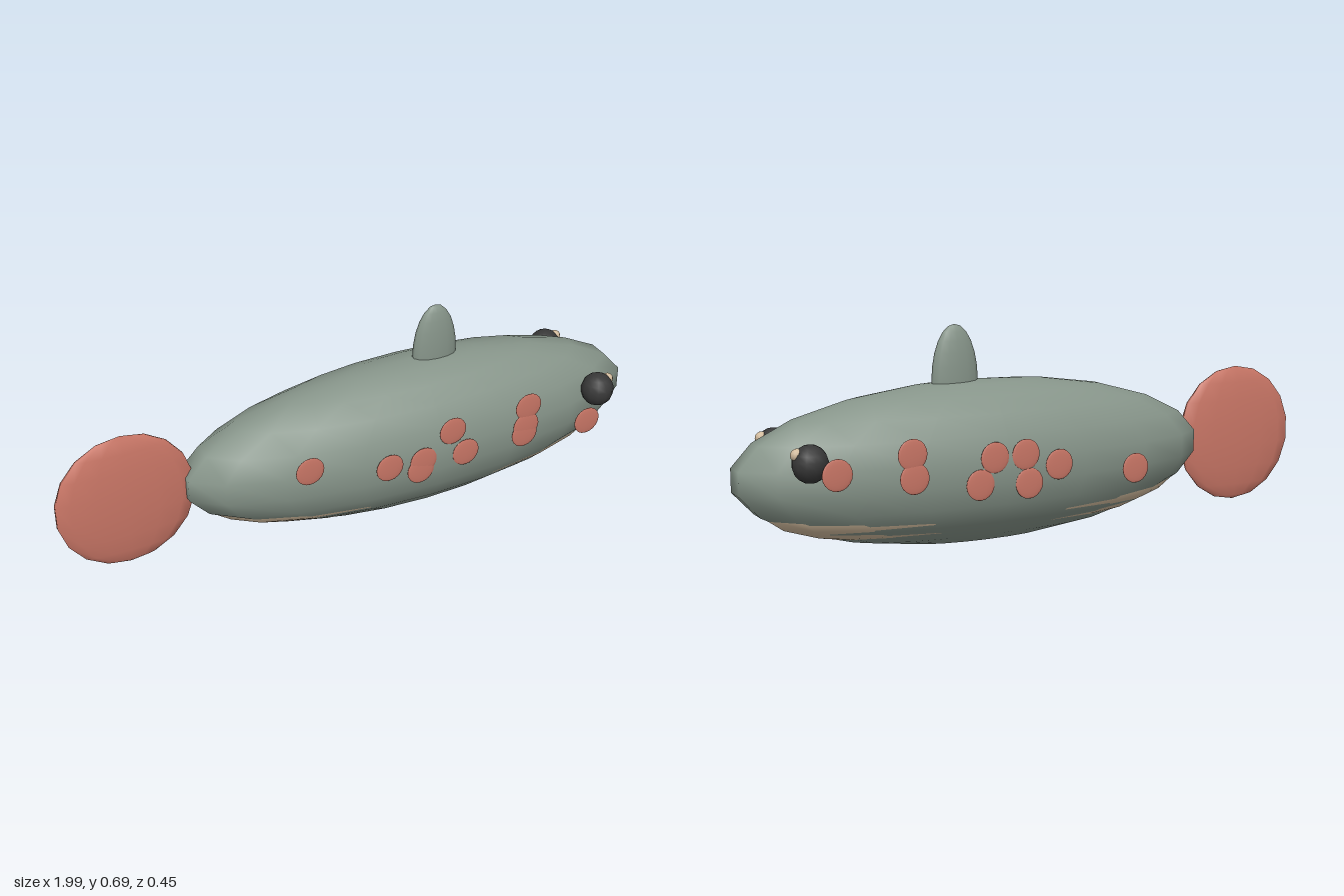
import * as THREE from 'three';

const mat = (name, color) => {
  const m = new THREE.MeshStandardMaterial({ color });
  m.name = name;
  return m;
};

export function createModel() {
  const fish = new THREE.Group();
  fish.name = 'fish';

  const green = mat('greyGreen', 0x87958a);
  const coral = mat('coral', 0xc97666);
  const dark = mat('charcoal', 0x383838);
  const cream = mat('cream', 0xd2bb9d);

  // Every part is a stretched sphere; rotating it puts blunt facets at the x ends
  function ellipsoid(name, material, pos, radii, w = 18, h = 11) {
    const g = new THREE.SphereGeometry(1, w, h);
    g.rotateY(Math.PI / 2);
    g.scale(...radii);
    const mesh = new THREE.Mesh(g, material);
    mesh.name = name;
    mesh.position.set(...pos);
    fish.add(mesh);
    return mesh;
  }

  // Body, with a pale belly that just breaks the surface near both ends
  ellipsoid('body', green, [0.205, 0.26, 0], [0.81, 0.257, 0.222]);
  ellipsoid('belly', cream, [0.205, 0.17, 0], [0.731, 0.152, 0.193]);

  // Fins
  ellipsoid('tailFin', coral, [-0.775, 0.265, 0], [0.228, 0.232, 0.03], 14, 9);
  ellipsoid('dorsalFin', green, [0.285, 0.515, 0], [0.078, 0.176, 0.031], 14, 12);

  // Eyes with a small glint on the forward side
  for (const s of [1, -1]) {
    ellipsoid('eye', dark, [0.82, 0.328, s * 0.165], [0.055, 0.057, 0.054], 12, 9);
    ellipsoid('eyeGlint', cream, [0.858, 0.356, s * 0.163], [0.02, 0.02, 0.019], 10, 8);
  }

  // Flat spots, scattered differently on each flank: [x, y]
  const leftSpots = [
    [-0.255, 0.348], [0.018, 0.28], [0.128, 0.24], [0.137, 0.272], [0.24, 0.355],
    [0.29, 0.262], [0.517, 0.37], [0.512, 0.3], [0.508, 0.27], [0.75, 0.253],
  ];
  const rightSpots = [
    [0.758, 0.298], [0.524, 0.337], [0.518, 0.265], [0.255, 0.305], [0.304, 0.225],
    [0.15, 0.306], [0.138, 0.215], [0.034, 0.265], [-0.242, 0.228],
  ];
  for (const [spots, s] of [[leftSpots, 1], [rightSpots, -1]]) {
    for (const [x, y] of spots) {
      ellipsoid('spot', coral, [x, y, s * 0.2185], [0.048, 0.048, 0.0045], 14, 10);
    }
  }
  return fish;
}
